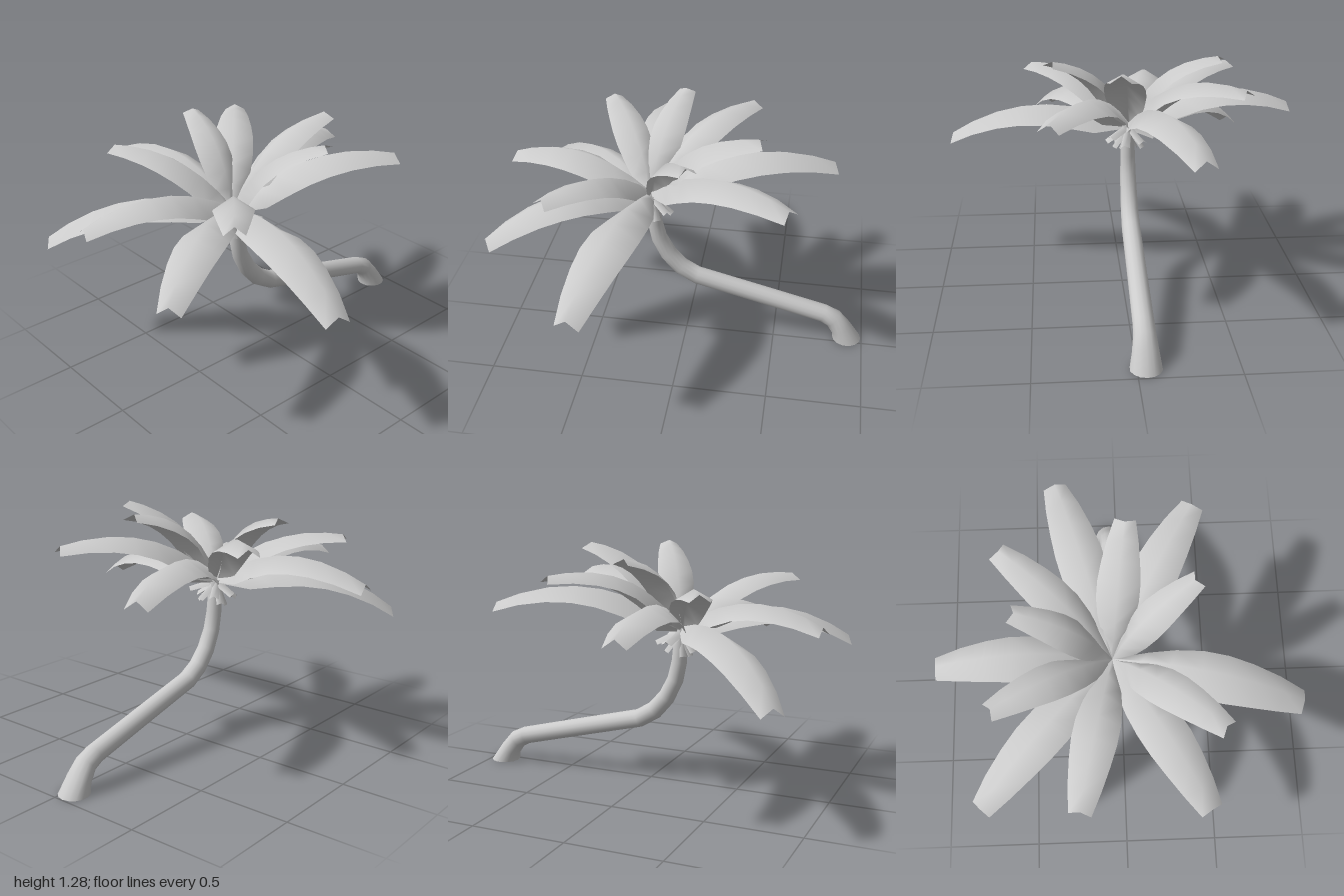
import * as THREE from 'three';

const V = (x, y, z) => new THREE.Vector3(x, y, z);
const UP = V(0, 1, 0);
const TRUNK_Z = -0.045;
const CROWN = V(-0.2, 0.87, -0.05);

// Smooth skin over rows of points
function skin(rows, closed, side) {
  const n = rows[0].length, index = [];
  for (let i = 0; i < rows.length - 1; i++) {
    for (let j = 0; j < (closed ? n : n - 1); j++) {
      const k = (j + 1) % n;
      const a = i * n + j, b = i * n + k, c = a + n, d = b + n;
      index.push(a, c, b, b, c, d);
    }
  }
  const geo = new THREE.BufferGeometry().setFromPoints(rows.flat());
  geo.setIndex(index);
  geo.computeVertexNormals();
  return new THREE.Mesh(geo, new THREE.MeshStandardMaterial({ color: 0xcccccc, side }));
}

// Position along the frond, half width and flank drop; the first row is the
// stem end, which runs on through the crown and pokes out below it
const PROFILE = [
  [-0.16, 0.026, 0.02], [0, 0.018, 0.03],
  [0.14, 0.078, 0.09], [0.28, 0.105, 0.088], [0.43, 0.12, 0.078],
  [0.57, 0.12, 0.07], [0.71, 0.108, 0.062], [0.86, 0.088, 0.05], [1, 0.06, 0.036],
];

// Arched frond folded along its midrib, notched at the tip
function createFrond(tip, scale, bulge) {
  const chord = tip.clone().sub(CROWN);
  const across = UP.clone().cross(chord).normalize();
  const lift = chord.clone().cross(across).normalize();
  const control = CROWN.clone().add(tip).multiplyScalar(0.5).addScaledVector(lift, bulge * 2);
  const curve = new THREE.QuadraticBezierCurve3(CROWN, control, tip);
  const rows = PROFILE.map(([t, width, drop]) => {
    const onBlade = Math.max(t, 0);
    const along = curve.getTangent(onBlade);
    const p = curve.getPoint(onBlade).addScaledVector(along, Math.min(t, 0));
    const normal = along.clone().cross(across).normalize();
    return [-1, 0, 1].map((s) => {
      const q = p.clone().addScaledVector(across, s * width * scale);
      if (s) q.addScaledVector(normal, -drop * scale);
      else if (t === 1) q.addScaledVector(along, -0.025);
      return q;
    });
  });
  const frond = skin(rows, false, THREE.DoubleSide);
  frond.name = 'frond';
  return frond;
}

function createFronds() {
  const fronds = new THREE.Group();
  fronds.name = 'fronds';
  // Tip x, y, z, width factor and height of the arch
  const tips = [
    [-0.24, 0.95, -0.96, 1, 0.14],
    [-0.92, 0.66, -0.76, 1, 0.14],
    [-0.53, 1.13, -0.66, 0.82, 0.1],
    [-1.01, 0.94, -0.235, 0.95, 0.125],
    [-0.99, 0.79, 0.43, 1, 0.14],
    [-0.65, 1.11, 0.5, 0.85, 0.105],
    [-0.425, 0.75, 0.955, 1.08, 0.14],
    [0.06, 1.285, 0.38, 0.78, 0.09],
    [0.57, 1.1, 0.395, 1, 0.13],
    [0.395, 1.285, 0.035, 0.9, 0.11],
    [0.78, 0.97, -0.335, 1.02, 0.15],
    [0.3, 1.17, -0.62, 0.88, 0.125],
    [-0.08, 1.265, -0.54, 0.77, 0.105],
  ];
  for (const [x, y, z, scale, bulge] of tips) fronds.add(createFrond(V(x, y, z), scale, bulge));
  return fronds;
}

function createTrunk() {
  // x, y, tilt of the ring in degrees, radius in the bend plane, radius in z
  const stations = [
    [0.915, 0, 0, 0.08, 0.08],
    [0.877, 0.07, 35, 0.056, 0.067],
    [0.83, 0.13, 50, 0.053, 0.057],
    [0.77, 0.16, 72, 0.05, 0.054],
    [0.41, 0.253, 75, 0.05, 0.052],
    [0.05, 0.345, 72, 0.05, 0.051],
    [-0.04, 0.4, 52, 0.049, 0.049],
    [-0.11, 0.48, 38, 0.047, 0.047],
    [-0.16, 0.58, 22, 0.044, 0.044],
    [-0.182, 0.68, 10, 0.041, 0.041],
    [-0.195, 0.86, 4, 0.036, 0.036],
  ];
  const sides = 14;
  const rows = stations.map(([x, y, tilt, a, b]) => {
    const r = THREE.MathUtils.degToRad(tilt);
    return Array.from({ length: sides }, (_, j) => {
      const q = (j / sides) * Math.PI * 2;
      return V(x + Math.cos(r) * a * Math.cos(q), y + Math.sin(r) * a * Math.cos(q), TRUNK_Z + b * Math.sin(q));
    });
  });
  const trunk = skin(rows, true, THREE.FrontSide);
  trunk.name = 'trunk';

  // Flat underside
  const foot = new THREE.Mesh(new THREE.CircleGeometry(0.08, sides), trunk.material);
  foot.rotation.x = Math.PI / 2;
  foot.position.set(0.915, 0, TRUNK_Z);
  foot.name = 'trunkFoot';
  return [trunk, foot];
}

export function createModel() {
  const palm = new THREE.Group();
  palm.name = 'leaningPalm';
  palm.add(...createTrunk(), createFronds());
  return palm;
}
